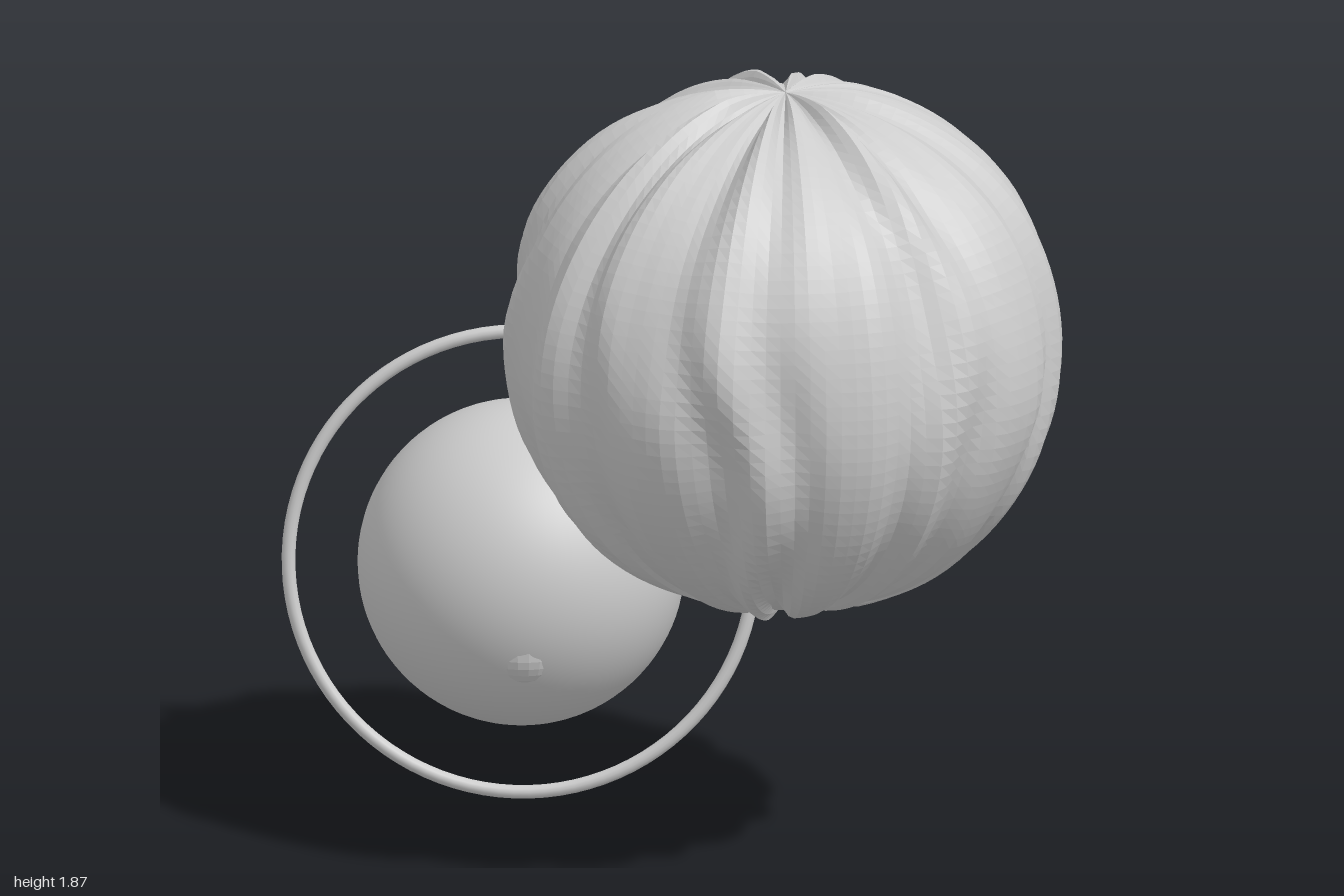
import * as THREE from 'three';

const grey = (opts = {}) => new THREE.MeshStandardMaterial({ color: 0xcccccc, ...opts });

function addPart(group, name, geometry, material, x, y, z) {
  const mesh = new THREE.Mesh(geometry, material);
  mesh.name = name;
  mesh.position.set(x, y, z);
  group.add(mesh);
  return mesh;
}

// Wavering upright ridges; whole-number frequencies keep the seam closed
function ridge(a, h) {
  const bend = 0.9 * Math.sin(3.2 * h + 2 * a) + 0.6 * Math.sin(5 * h - 3 * a + 1);
  return 0.5 * Math.sin(15 * a + bend * 1.2)
    + 0.3 * Math.sin(9 * a - bend + 2 * h + 0.7)
    + 0.25 * Math.sin(23 * a + 1.4 * bend + 2)
    + 0.25 * Math.sin(4 * a + 4 * h + 0.4);
}

// Rough ball: a sphere whose radius follows the ridges
function roughBall() {
  const geo = new THREE.SphereGeometry(1, 112, 60);
  const pos = geo.attributes.position;
  const v = new THREE.Vector3();
  for (let i = 0; i < pos.count; i++) {
    v.fromBufferAttribute(pos, i);
    const ring = Math.hypot(v.x, v.z);
    const a = Math.atan2(v.z, v.x);
    const fade = Math.min(1, ring * 4);
    const r = 0.612 + 0.028 * ring + 0.026 * fade * ridge(a, v.y);
    v.multiplyScalar(r);
    pos.setXYZ(i, v.x, v.y, v.z);
  }
  geo.computeVertexNormals();
  return geo;
}

export function createModel() {
  const group = new THREE.Group();

  // Large ridged body, with a smoother layer breaking through low on its back right
  addPart(group, 'roughBall', roughBall(), grey({ flatShading: true }), 0.32, 1.25, 0);
  addPart(group, 'innerLayer', new THREE.SphereGeometry(0.61, 64, 40), grey(), 0.29, 1.235, -0.02);

  // Small smooth ball with a faint raised patch
  const c = [-0.475, 0.555, -0.285];
  addPart(group, 'smoothBall', new THREE.SphereGeometry(0.381, 64, 48), grey(), ...c);
  const patch = addPart(group, 'raisedPatch', new THREE.SphereGeometry(0.16, 24, 16),
    grey({ flatShading: true }), c[0] + 0.11, c[1] - 0.12, c[2] + 0.235);
  patch.scale.set(0.64, 0.64, 0.64);

  // Thin tilted ring round the small ball
  const ring = addPart(group, 'ring', new THREE.TorusGeometry(0.542, 0.016, 12, 96), grey(), ...c);
  ring.quaternion.setFromUnitVectors(new THREE.Vector3(0, 0, 1),
    new THREE.Vector3(0.355, 0.13, 0.925).normalize());

  return group;
}
